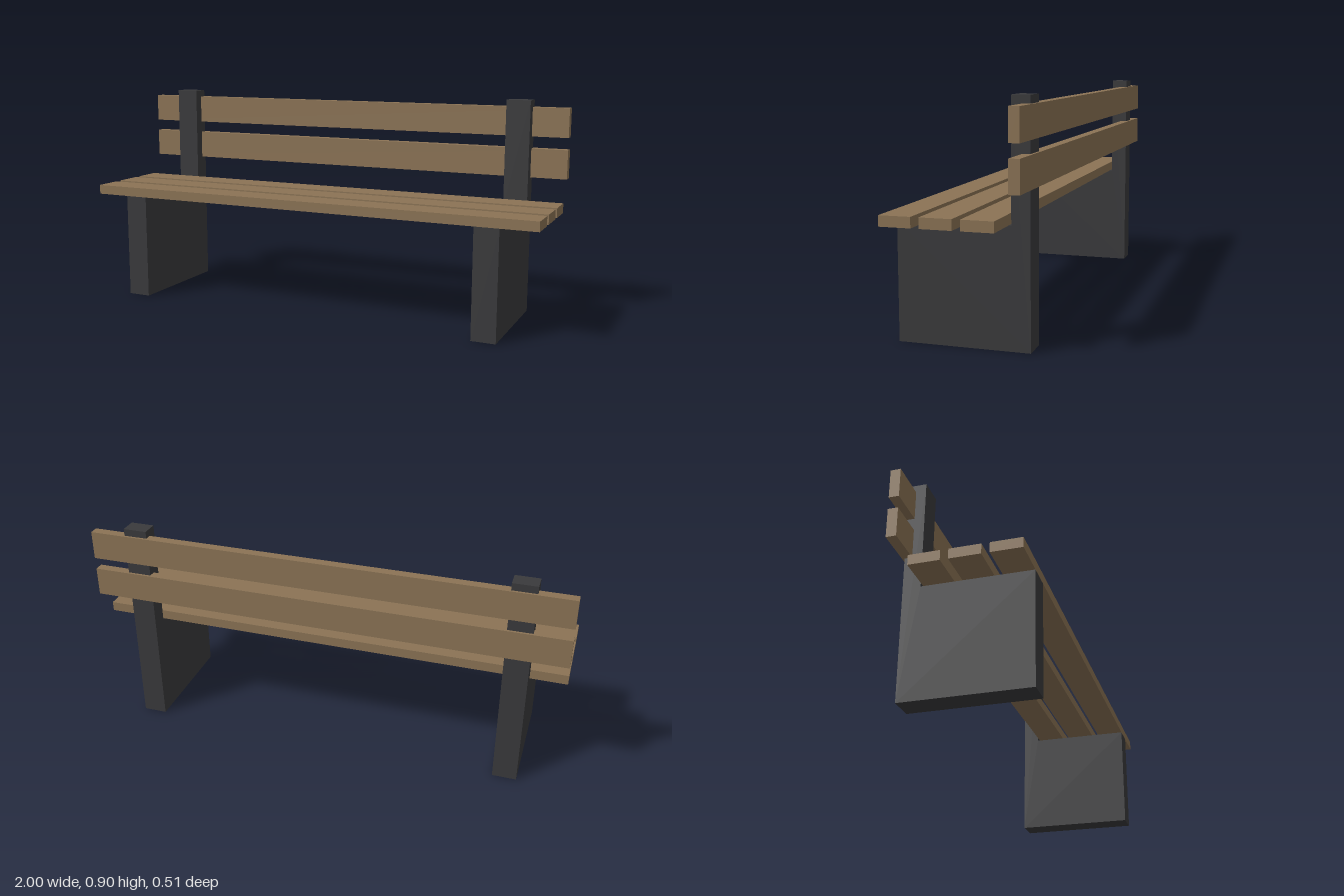
import * as THREE from 'three';

export function createModel() {
  const bench = new THREE.Group();
  bench.name = 'bench';
  const wood = new THREE.MeshStandardMaterial({ color: 0x8b7355 });
  const metal = new THREE.MeshStandardMaterial({ color: 0x3a3a3c });

  // Side supports: solid leg panel and back post in one L-shaped profile (z, y)
  const profile = new THREE.Shape([
    [-0.245, 0], [0.255, 0], [0.255, 0.45], [-0.175, 0.45], [-0.175, 0.9], [-0.245, 0.9],
  ].map(([z, y]) => new THREE.Vector2(z, y)));
  const supportGeometry = new THREE.ExtrudeGeometry(profile, { depth: 0.1, bevelEnabled: false });
  supportGeometry.translate(0, 0, -0.05).rotateY(-Math.PI / 2);
  for (const [name, x] of [['leftSupport', 0.8], ['rightSupport', -0.8]]) {
    const support = new THREE.Mesh(supportGeometry, metal);
    support.name = name;
    support.position.x = x;
    bench.add(support);
  }

  // Full-length wooden slats
  const addSlat = (name, height, depth, y, z) => {
    const slat = new THREE.Mesh(new THREE.BoxGeometry(2, height, depth), wood);
    slat.name = name;
    slat.position.set(0, y, z);
    bench.add(slat);
  };
  [0.195, 0.045, -0.105].forEach((z, i) => addSlat(`seatSlat${i + 1}`, 0.04, 0.12, 0.47, z));
  [0.64, 0.81].forEach((y, i) => addSlat(`backSlat${i + 1}`, 0.12, 0.04, y, -0.235));

  return bench;
}
